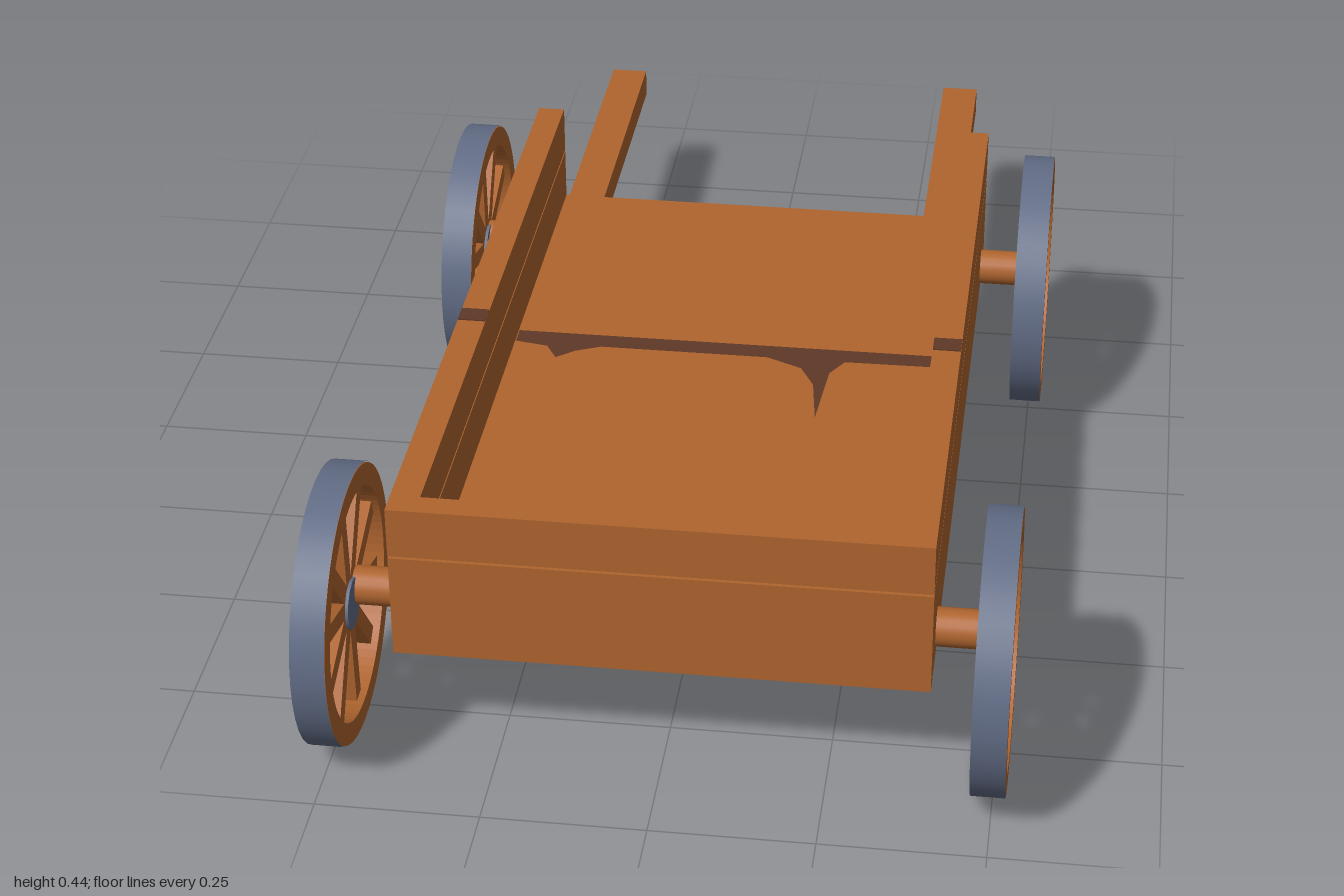
import * as THREE from 'three';

export function createModel() {
  const cart = new THREE.Group();
  cart.name = 'cart';

  const material = (name, color) => {
    const m = new THREE.MeshStandardMaterial({ color });
    m.name = name;
    return m;
  };
  const wood = material('wood', 0xb0652f);
  const darkWood = material('dark wood grain', 0x5e3826);
  const iron = material('iron', 0x626d86);

  const add = (parent, name, geometry, mat, x = 0, y = 0, z = 0) => {
    const mesh = new THREE.Mesh(geometry, mat);
    mesh.name = name;
    mesh.position.set(x, y, z);
    parent.add(mesh);
    return mesh;
  };
  // Box given by its limits on each axis
  const box = (name, x0, x1, y0, y1, z0, z1, mat = wood) =>
    add(cart, name, new THREE.BoxGeometry(x1 - x0, y1 - y0, z1 - z0), mat,
      (x0 + x1) / 2, (y0 + y1) / 2, (z0 + z1) / 2);

  const half = 0.402, inner = 0.357, back = -0.455, front = 0.852, frontInner = 0.812;
  const floorTop = 0.262;

  // Bed, open at the back, with two planks on each walled side
  box('floor', -inner, inner, 0.18, floorTop, back, frontInner);
  for (const [row, y0, y1] of [['lower', 0.18, 0.35], ['upper', 0.354, 0.435]]) {
    box(row + 'FrontPlank', -inner, inner, y0, y1, frontInner, front);
    for (const [side, s] of [['left', 1], ['right', -1]]) {
      const edges = [s * inner, s * half].sort((a, b) => a - b);
      box(`${row}${side}Plank`, edges[0], edges[1], y0, y1, back, front);
    }
  }

  // Dark grain across the floor with two running streaks
  const grain = new THREE.Shape();
  [[-0.355, -0.035], [0.355, -0.035], [0.355, -0.07], [0.2, -0.072], [0.178, -0.11],
    [0.168, -0.25], [0.155, -0.15], [0.13, -0.1], [0.07, -0.072], [-0.21, -0.072],
    [-0.25, -0.09], [-0.28, -0.115], [-0.3, -0.08], [-0.355, -0.07]]
    .reverse()
    .forEach(([x, y], i) => (i ? grain.lineTo(x, y) : grain.moveTo(x, y)));
  add(cart, 'floorGrain', new THREE.ShapeGeometry(grain), darkWood, 0, floorTop + 0.002, 0)
    .rotation.x = -Math.PI / 2;

  // Grain marks on the top edges of the sides
  for (const s of [1, -1]) {
    const x = s * (half + inner) / 2;
    box('edgeGrain', x - 0.022, x + 0.022, 0.434, 0.437, 0.265, 0.3, darkWood);
  }

  // Shafts at the back and axles
  for (const s of [1, -1]) {
    box('shaft', s * 0.323 - 0.032, s * 0.323 + 0.032, 0.2, 0.25, -1, -0.4);
  }
  for (const z of [0.748, -0.35]) {
    add(cart, 'axle', new THREE.CylinderGeometry(0.03, 0.03, 0.96, 20), wood, 0, 0.225, z)
      .rotation.z = Math.PI / 2;
  }

  // Wheel parts, built facing z
  const radius = 0.215, width = 0.052, rimInner = 0.18, spokes = 10;
  const ring = new THREE.Shape().absarc(0, 0, radius - 0.001, 0, Math.PI * 2);
  ring.holes.push(new THREE.Path().absarc(0, 0, rimInner, 0, Math.PI * 2, true));
  const rimGeometry = new THREE.ExtrudeGeometry(ring,
    { depth: width, bevelEnabled: false, curveSegments: 40 }).translate(0, 0, -width / 2);
  const tyreGeometry = new THREE.CylinderGeometry(radius + 0.001, radius + 0.001, width, 40, 1, true)
    .rotateX(Math.PI / 2);
  const hubGeometry = new THREE.CylinderGeometry(0.04, 0.04, 0.04, 12).rotateX(Math.PI / 2);
  const spokeGeometry = new THREE.BoxGeometry(0.028, rimInner - 0.015, 0.03)
    .translate(0, (rimInner + 0.025) / 2, 0);

  const createWheel = () => {
    const wheel = new THREE.Group();
    wheel.name = 'wheel';
    add(wheel, 'rim', rimGeometry, wood);
    add(wheel, 'tyre', tyreGeometry, iron);
    add(wheel, 'hub', hubGeometry, iron);
    for (let i = 0; i < spokes; i++) {
      add(wheel, 'spoke', spokeGeometry, wood).rotation.z = (i / spokes) * Math.PI * 2 - 0.05;
    }
    return wheel;
  };

  for (const z of [0.785, -0.333]) {
    for (const s of [1, -1]) {
      const wheel = createWheel();
      wheel.position.set(s * 0.495, 0.216, z);
      wheel.rotation.y = s * Math.PI / 2;
      cart.add(wheel);
    }
  }

  return cart;
}
